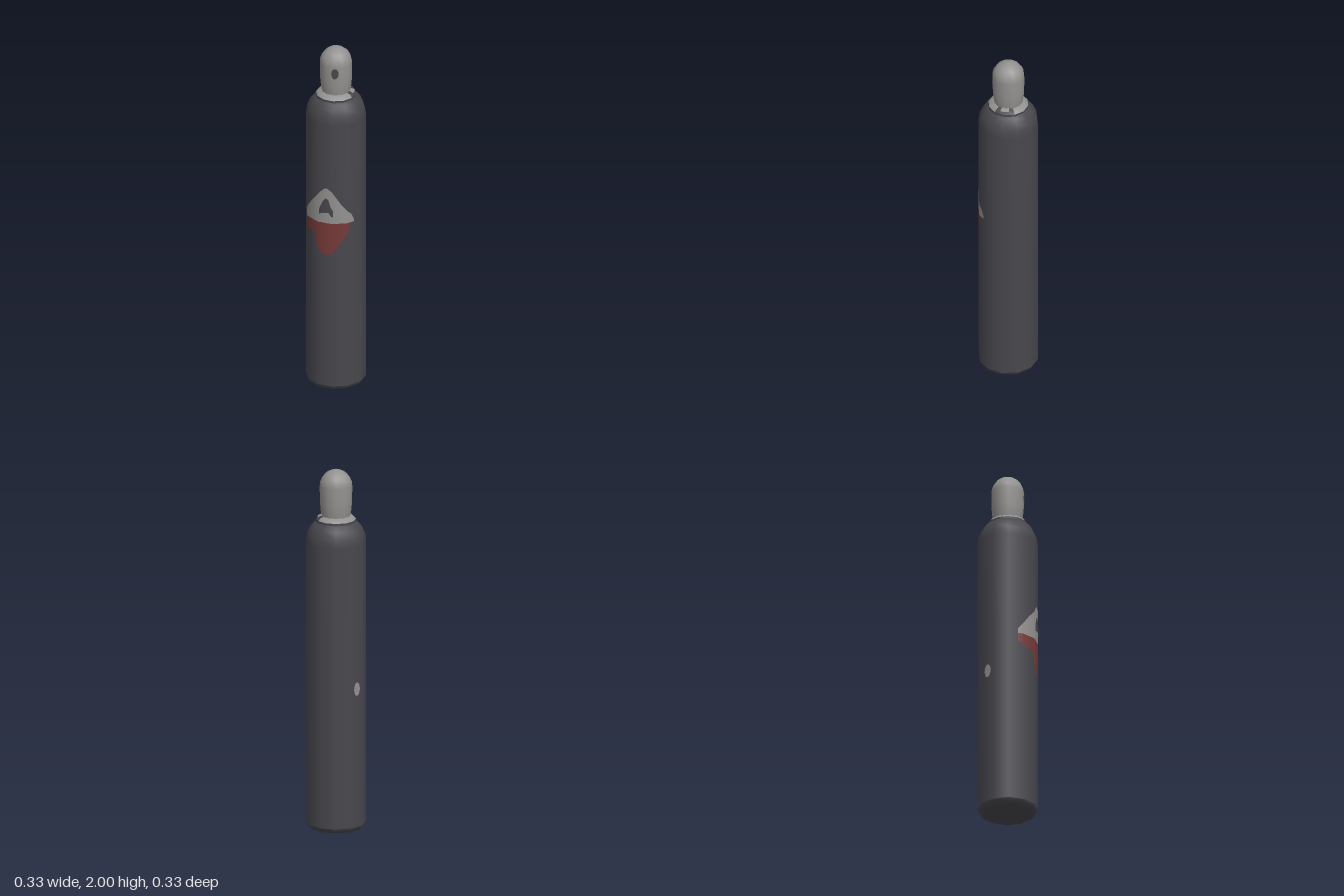
import * as THREE from 'three';

const mat = (name, color, side = THREE.FrontSide) => {
  const m = new THREE.MeshStandardMaterial({ color, side });
  m.name = name;
  return m;
};

export function createModel() {
  const group = new THREE.Group();
  const dark = mat('darkGrey', 0x48474d);
  const light = mat('lightGrey', 0x949290);
  const red = mat('dullRed', 0x753a38);
  const SIDES = 12, R = 0.163, STEP = Math.PI * 2 / SIDES;

  const add = (name, geometry, material) => {
    const mesh = new THREE.Mesh(geometry, material);
    mesh.name = name;
    group.add(mesh);
    return mesh;
  };
  // Turned part; first and count pick a run of the twelve sides
  const turned = (name, profile, material, first = 0, count = SIDES) =>
    add(name, new THREE.LatheGeometry(profile.map(p => new THREE.Vector2(...p)),
      count, first * STEP, count * STEP), material);

  // Depth of the twelve-sided wall at a given x on the front
  const wallZ = (x, r) => {
    const k = Math.floor(Math.asin(x / r) / STEP + 1e-6);
    const [x0, x1] = [r * Math.sin(k * STEP), r * Math.sin((k + 1) * STEP)];
    return THREE.MathUtils.lerp(r * Math.cos(k * STEP), r * Math.cos((k + 1) * STEP), (x - x0) / (x1 - x0));
  };
  // Painted patch on the wall; columns are [x, low y, high y]
  const patch = (name, columns, r, material) => {
    const pos = [], nor = [], idx = [];
    const corners = [-2, -1, 0, 1, 2].map(k => r * Math.sin(k * STEP));
    const first = columns[0][0], last = columns[columns.length - 1][0];
    const xs = [...columns.map(c => c[0]), ...corners.filter(x => x > first && x < last)].sort((a, b) => a - b);
    xs.forEach((x, i) => {
      let j = 0;
      while (j < columns.length - 2 && columns[j + 1][0] < x) j++;
      const a = columns[j], b = columns[j + 1], t = (x - a[0]) / (b[0] - a[0]);
      const z = wallZ(x, r), len = Math.hypot(x, z);
      for (const n of [1, 2]) {
        pos.push(x, THREE.MathUtils.lerp(a[n], b[n], t), z);
        nor.push(x / len, 0, z / len);
      }
      if (i > 0) {
        const k = i * 2;
        idx.push(k - 2, k, k + 1, k - 2, k + 1, k - 1);
      }
    });
    const g = new THREE.BufferGeometry();
    g.setAttribute('position', new THREE.Float32BufferAttribute(pos, 3));
    g.setAttribute('normal', new THREE.Float32BufferAttribute(nor, 3));
    g.setIndex(idx);
    return add(name, g, material);
  };
  // Oval patch
  const spot = (name, cx, cy, w, h, r, material) => {
    const columns = [];
    for (let i = 0; i <= 8; i++) {
      const a = Math.PI * i / 8, dy = h / 2 * Math.sin(a);
      columns.push([cx - w / 2 * Math.cos(a), cy - dy, cy + dy]);
    }
    return patch(name, columns, r, material);
  };

  // Cylinder body with rounded shoulder
  turned('base', [[0, 0], [0.138, 0]], dark);
  turned('baseBevel', [[0.138, 0], [0.155, 0.01], [R, 0.028]], dark);
  turned('body', [[R, 0.028], [R, 0.5], [R, 1.1], [R, 1.6], [0.157, 1.645],
    [0.14, 1.682], [0.122, 1.703], [0.11, 1.712]], dark);
  turned('neckRim', [[0.11, 1.712], [0.109, 1.724]], dark);

  // Collar, light except for a worn dark part on one side
  const collar = [[0.109, 1.724], [0.098, 1.737], [0.076, 1.745]];
  turned('collar', collar, light, 4, 10);
  turned('collarDarkPart', collar, dark, 2, 2);
  const chip = new THREE.LatheGeometry([new THREE.Vector2(0.1, 1.738), new THREE.Vector2(0.076, 1.748)],
    2, Math.PI / 2 - 0.25, 0.5);
  add('collarLightChip', chip, light);

  // Valve cap with domed top
  const cap = [[0.078, 1.743], [0.083, 1.775], [0.087, 1.82], [0.088, 1.91]];
  for (let i = 1; i <= 6; i++) {
    const a = Math.PI / 2 * i / 6;
    cap.push([Math.max(0, 0.088 * Math.cos(a)), 1.91 + 0.09 * Math.sin(a)]);
  }
  turned('valveCap', cap, light);
  spot('capHole', 0.005, 1.877, 0.04, 0.062, 0.09, dark);

  // Two-tone label on the front
  patch('labelTop', [[-0.151, 1.01, 1.04], [-0.143, 1.01, 1.075], [-0.115, 1.01, 1.125], [-0.07, 1.01, 1.19],
    [-0.045, 1.01, 1.215], [-0.03, 1.01, 1.22], [0, 1.01, 1.2], [0.05, 1.01, 1.12],
    [0.1, 1.01, 1.06], [0.112, 1.01, 1.025]], R + 0.002, light);
  patch('labelBottom', [[-0.151, 0.965, 1.01], [-0.14, 0.943, 1.01], [-0.097, 0.935, 1.01], [-0.083, 0.865, 1.01],
    [-0.06, 0.822, 1.01], [-0.035, 0.813, 1.01], [0.01, 0.84, 1.01], [0.065, 0.92, 1.01],
    [0.085, 0.965, 1.01], [0.097, 1.005, 1.01]], R + 0.002, red);
  patch('labelMark', [[-0.073, 1.06, 1.09], [-0.052, 1.07, 1.14], [-0.036, 1.07, 1.16],
    [-0.02, 1.075, 1.15], [-0.008, 1.055, 1.11], [0.005, 1.05, 1.09]], R + 0.004, dark);

  // Small worn patch on the back
  spot('backPatch', -0.04, 0.8, 0.042, 0.075, R + 0.002, light).rotation.y = -4 * STEP;

  return group;
}
